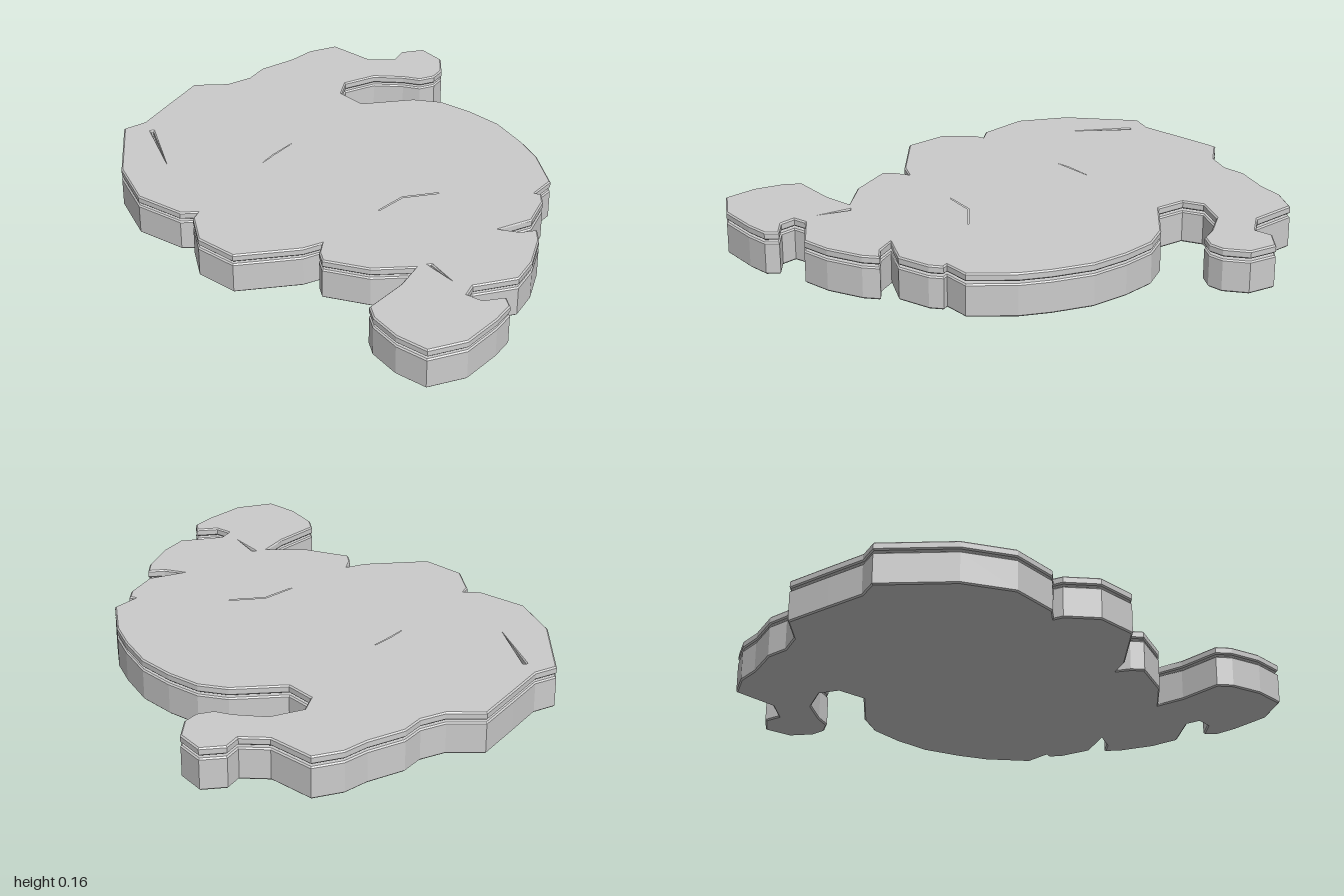
import * as THREE from 'three';

// Outline of the plaque as [x, z] corners, seen from above.
const outline = [
  // back tip and small rear arm
  [0.19, -0.98], [0.3, -0.85], [0.4, -0.83], [0.44, -0.88], [0.53, -0.88], [0.58, -0.79], [0.56, -0.7],
  [0.52, -0.66], [0.46, -0.65], [0.4, -0.68], [0.29, -0.71], [0.17, -0.68], [0.14, -0.61], [0.2, -0.52],
  // round left side
  [0.4, -0.51], [0.5, -0.47], [0.59, -0.38], [0.67, -0.27], [0.72, -0.13], [0.745, -0.02], [0.745, 0.15],
  [0.67, 0.21], [0.69, 0.22], [0.68, 0.27], [0.61, 0.37], [0.48, 0.4], [0.55, 0.43], [0.61, 0.43],
  // front lobe and hooked tail
  [0.6, 0.49], [0.54, 0.61], [0.47, 0.69], [0.31, 0.7], [0.28, 0.74], [0.32, 0.78], [0.4, 0.78],
  [0.4, 0.83], [0.34, 0.89], [0.22, 0.98], [0.08, 1], [0, 0.91], [-0.05, 0.8], [-0.05, 0.74],
  [0.08, 0.64], [0.15, 0.56], [0, 0.54], [-0.15, 0.46], [-0.15, 0.41], [-0.13, 0.36],
  // scalloped right side
  [-0.2, 0.38], [-0.44, 0.37], [-0.54, 0.25], [-0.54, 0.12], [-0.52, 0.09], [-0.58, 0.08], [-0.71, -0.05],
  [-0.75, -0.24], [-0.71, -0.52], [-0.63, -0.55], [-0.53, -0.66], [-0.41, -0.79], [-0.28, -0.77],
  [-0.19, -0.8], [-0.13, -0.86], [0, -0.91], [0.08, -0.96],
];

// Thin cracks cut through the top layer
const cracks = [
  [[-0.315, -0.05], [-0.29, -0.14], [-0.2, -0.23], [-0.1, -0.3], [-0.19, -0.22], [-0.28, -0.14]],
  [[0.09, 0.21], [0.2, 0.135], [0.34, 0.135], [0.34, 0.15], [0.205, 0.15], [0.11, 0.21]],
  [[0.195, 0.555], [0.25, 0.66], [0.205, 0.555]],
  [[-0.615, -0.48], [-0.585, -0.24], [-0.605, -0.48]],
];

const toPoints = (list) => list.map(([x, z]) => new THREE.Vector2(x, -z));

// Flat layer between two heights, with chamfered rims that stay inside the outline
function layer(y0, y1, chamfer, holes = []) {
  const shape = new THREE.Shape(toPoints(outline));
  for (const h of holes) shape.holes.push(new THREE.Path(toPoints(h)));
  const geo = new THREE.ExtrudeGeometry(shape, {
    depth: y1 - y0 - 2 * chamfer,
    bevelEnabled: true,
    bevelThickness: chamfer,
    bevelSize: chamfer,
    bevelOffset: -chamfer,
    bevelSegments: 1,
  });
  geo.rotateX(-Math.PI / 2);
  geo.translate(0, y0 + chamfer, 0);
  return geo;
}

export function createModel() {
  const group = new THREE.Group();
  const material = new THREE.MeshStandardMaterial({ color: 0xcccccc, flatShading: true });
  const add = (geo, name) => {
    const mesh = new THREE.Mesh(geo, material);
    mesh.name = name;
    group.add(mesh);
    return mesh;
  };

  add(layer(0, 0.117, 0.005), 'baseSlab');
  add(layer(0.126, 0.155, 0.005, cracks), 'topLayer');

  // Pads that hold the top layer just above the base
  const pads = [[-0.02, 0.45], [0.02, -0.8], [0.45, 0.55], [0.6, 0], [0.5, -0.78], [0.15, 0.85], [-0.62, -0.2], [-0.4, 0.2]];
  for (const [x, z] of pads) {
    add(new THREE.CylinderGeometry(0.05, 0.05, 0.03, 8), 'spacerPad').position.set(x, 0.12, z);
  }
  return group;
}
